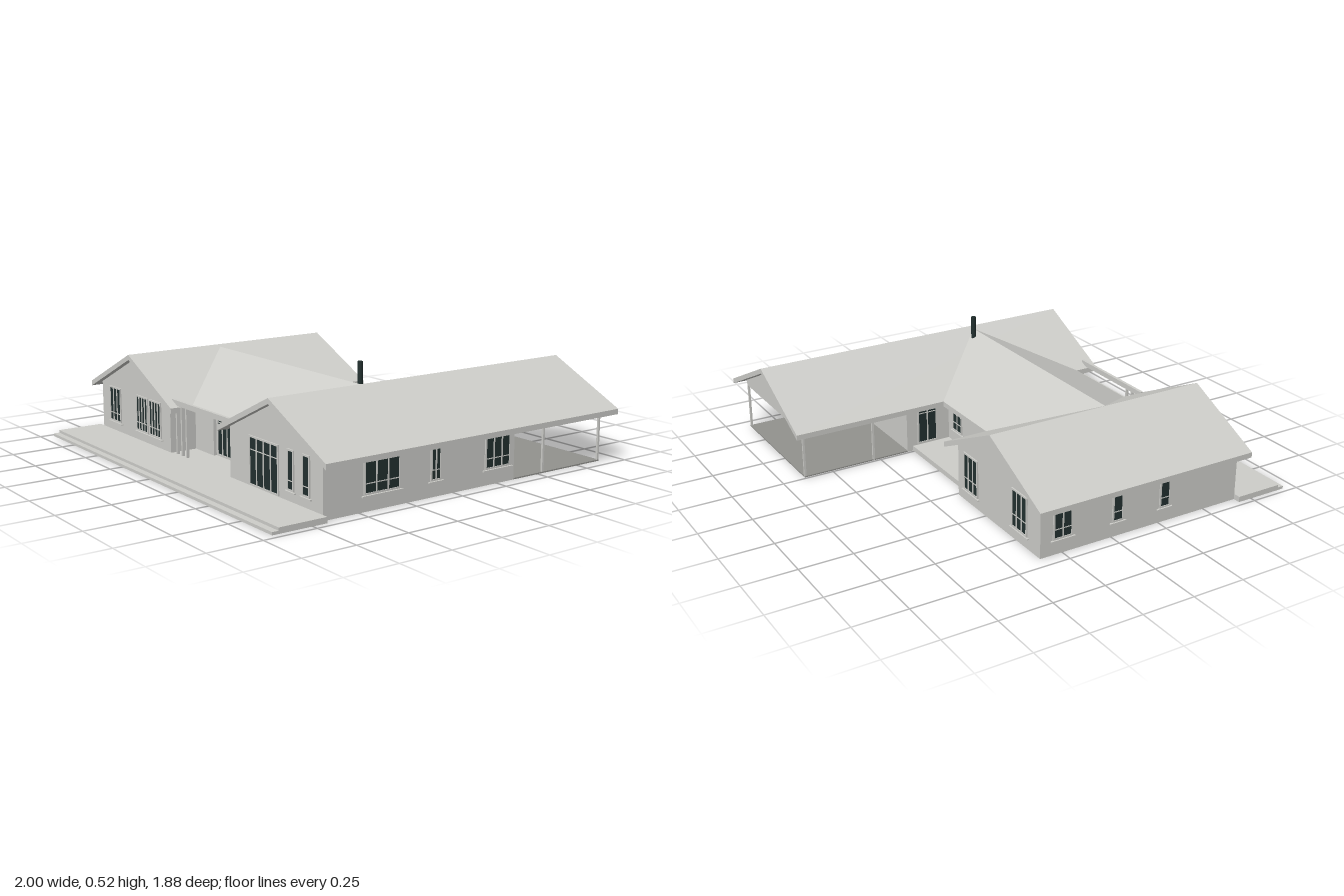
import * as THREE from 'three';

const render = new THREE.MeshStandardMaterial({ color: 0xcdcdc9 });
render.name = 'pale render';
const glass = new THREE.MeshStandardMaterial({ color: 0x22302f });
glass.name = 'dark glass';
const paving = new THREE.MeshStandardMaterial({ color: 0x92928e });
paving.name = 'grey paving';

const SLOPE = 0.475, EAVE = 0.25, THICK = 0.025;

export function createModel() {
  const house = new THREE.Group();
  house.name = 'house';

  const add = (name, geo, mat = render, parent = house) => {
    const m = new THREE.Mesh(geo, mat);
    m.name = name;
    parent.add(m);
    return m;
  };
  // Box given by its limits on each axis
  const box = (name, x0, x1, y0, y1, z0, z1, mat, parent) => {
    const m = add(name, new THREE.BoxGeometry(x1 - x0, y1 - y0, z1 - z0), mat, parent);
    m.position.set((x0 + x1) / 2, (y0 + y1) / 2, (z0 + z1) / 2);
    return m;
  };
  // Profile in x and y, pulled from z0 to z1
  const prism = (name, pts, z0, z1) => {
    const shape = new THREE.Shape(pts.map(p => new THREE.Vector2(...p)));
    const geo = new THREE.ExtrudeGeometry(shape, { depth: z1 - z0, bevelEnabled: false });
    return add(name, geo.translate(0, 0, z0));
  };
  const under = d => EAVE - THICK + d * SLOPE; // roof underside at distance d from the eave

  // Plinths, terraces and step
  box('plinth', -0.94, 0.94, 0, 0.025, -0.32, 0.68);
  box('frontDeck', -0.975, 0.97, 0, 0.026, 0.68, 0.91);
  box('frontStep', -0.975, 0.97, 0, 0.013, 0.91, 0.94);
  box('porchFloor', 0.26, 0.94, 0, 0.006, -0.89, -0.35, paving);

  // Two gabled wings
  for (const [side, c, wallBack, roofBack] of [['left', 0.6, -0.35, -0.94], ['right', -0.6, -0.36, -0.4]]) {
    prism(side + 'WingWalls', [
      [c - 0.34, 0], [c + 0.34, 0], [c + 0.34, under(0.06)], [c, under(0.4)], [c - 0.34, under(0.06)],
    ], wallBack, 0.68);
    prism(side + 'WingRoof', [
      [c - 0.4, under(0)], [c, under(0.4)], [c + 0.4, under(0)],
      [c + 0.4, EAVE], [c, EAVE + 0.4 * SLOPE], [c - 0.4, EAVE],
    ], roofBack, 0.71);
  }

  // Covered porch behind the long wing
  prism('porchGable', [[0.26, 0.226], [0.94, 0.226], [0.94, under(0.06)], [0.6, under(0.4)], [0.26, under(0.06)]], -0.89, -0.88);
  for (const x of [0.265, 0.935]) {
    for (const z of [-0.885, -0.53]) box('porchPost', x - 0.005, x + 0.005, 0, 0.253, z - 0.005, z + 0.005);
  }

  // Middle block and its roof between the wings
  const mid = prism('middleWalls', [
    [-0.53, 0], [0.12, 0], [0.12, under(0.06)], [-0.205, under(0.385)], [-0.53, under(0.06)],
  ], -0.3, 0.3);
  mid.rotation.y = Math.PI / 2;

  const ridge = EAVE + 0.38 * SLOPE;
  const top = [
    [-0.58, ridge, 0.208], [0.58, ridge, 0.208],
    [0.2, EAVE, 0.595], [-0.2, EAVE, 0.595],
    [0.2, EAVE, -0.18], [-0.2, EAVE, -0.18],
  ];
  const bottom = top.map(([x, y, z]) => [x, y - THICK, z]);
  const quads = [[0, 3, 2, 1], [0, 1, 4, 5]];
  const faces = [];
  for (const [a, b, c, d] of quads) {
    faces.push(a, b, c, a, c, d);
    faces.push(a + 6, c + 6, b + 6, a + 6, d + 6, c + 6);
  }
  for (const [a, b] of [[3, 2], [4, 5]]) faces.push(a, a + 6, b + 6, a, b + 6, b);
  const roofGeo = new THREE.BufferGeometry();
  roofGeo.setAttribute('position', new THREE.Float32BufferAttribute([...top, ...bottom].flat(), 3));
  roofGeo.setIndex(faces);
  const flatRoof = roofGeo.toNonIndexed();
  flatRoof.computeVertexNormals();
  add('middleRoof', flatRoof);

  // Entry beam on slim posts
  box('entryBeam', -0.255, 0.245, 0.255, 0.28, 0.655, 0.67);
  for (const x of [-0.225, -0.18, -0.138]) box('entryPost', x - 0.005, x + 0.005, 0.02, 0.256, 0.655, 0.668);
  box('entryScreen', -0.26, -0.1, 0.02, 0.25, 0.53, 0.545);

  // Chimney flue
  const flue = add('flue', new THREE.CylinderGeometry(0.012, 0.012, 0.17, 16), glass);
  flue.position.set(0.515, 0.435, 0.172);

  // Glazed opening: glass plate, raised frame and bars, optional sill
  const opening = (name, x, z, turn, w, y0, y1, panes, bar, sill = true) => {
    const g = new THREE.Group();
    g.name = name;
    g.position.set(x, 0, z);
    g.rotation.y = turn;
    house.add(g);
    const h = w / 2, t = 0.004;
    box('glass', -h, h, y0, y1, 0, 0.003, glass, g);
    for (let i = 0; i <= panes; i++) {
      const bx = -h + (w * i) / panes;
      const half = i === 0 || i === panes ? t : 0.003;
      box('upright', bx - half, bx + half, y0 - t, y1 + t, 0, 0.006, render, g);
    }
    for (const y of [y0, y1]) box('rail', -h, h, y - t, y + t, 0, 0.006, render, g);
    box('glazingBar', -h, h, bar - 0.002, bar + 0.002, 0, 0.005, render, g);
    if (sill) box('sill', -h - 0.015, h + 0.015, y0 - 0.012, y0 - 0.006, 0, 0.01, render, g);
  };

  // Front: [x, width, bottom, panes]
  const front = [
    [-0.8, 0.106, 0.076, 3], [-0.527, 0.106, 0.076, 4], [-0.4, 0.106, 0.076, 4],
    [0.525, 0.212, 0.034, 4], [0.72, 0.04, 0.076, 1], [0.828, 0.046, 0.076, 1],
  ];
  for (const [x, w, y0, n] of front) opening('frontWindow', x, 0.68, 0, w, y0, 0.243, n, y0 < 0.05 ? 0.187 : 0.115, y0 > 0.05);
  opening('frontDoor', 0, 0.53, 0, 0.162, 0.034, 0.226, 4, 0.187, false);

  // Outer sides: [z, width, panes]
  for (const [z, w, n] of [[0.385, 0.18, 3], [0.1, 0.05, 2], [-0.25, 0.14, 3]]) {
    opening('sideWindow', 0.94, z, Math.PI / 2, w, 0.075, 0.222, n, 0.118);
  }
  for (const [z, w, n] of [[-0.25, 0.09, 2], [0.03, 0.05, 1], [0.28, 0.05, 1]]) {
    opening('sideWindow', -0.94, z, -Math.PI / 2, w, 0.075, 0.222, n, 0.118);
  }

  // Rear and courtyard
  for (const x of [-0.375, -0.78]) opening('rearWindow', x, -0.36, Math.PI, 0.115, 0.06, 0.235, 3, 0.118);
  opening('courtyardWindow', 0.17, -0.12, Math.PI, 0.08, 0.09, 0.222, 2, 0.13);
  opening('courtyardDoor', 0.26, -0.24, -Math.PI / 2, 0.1, 0.035, 0.222, 2, 0.187, false);

  return house;
}
